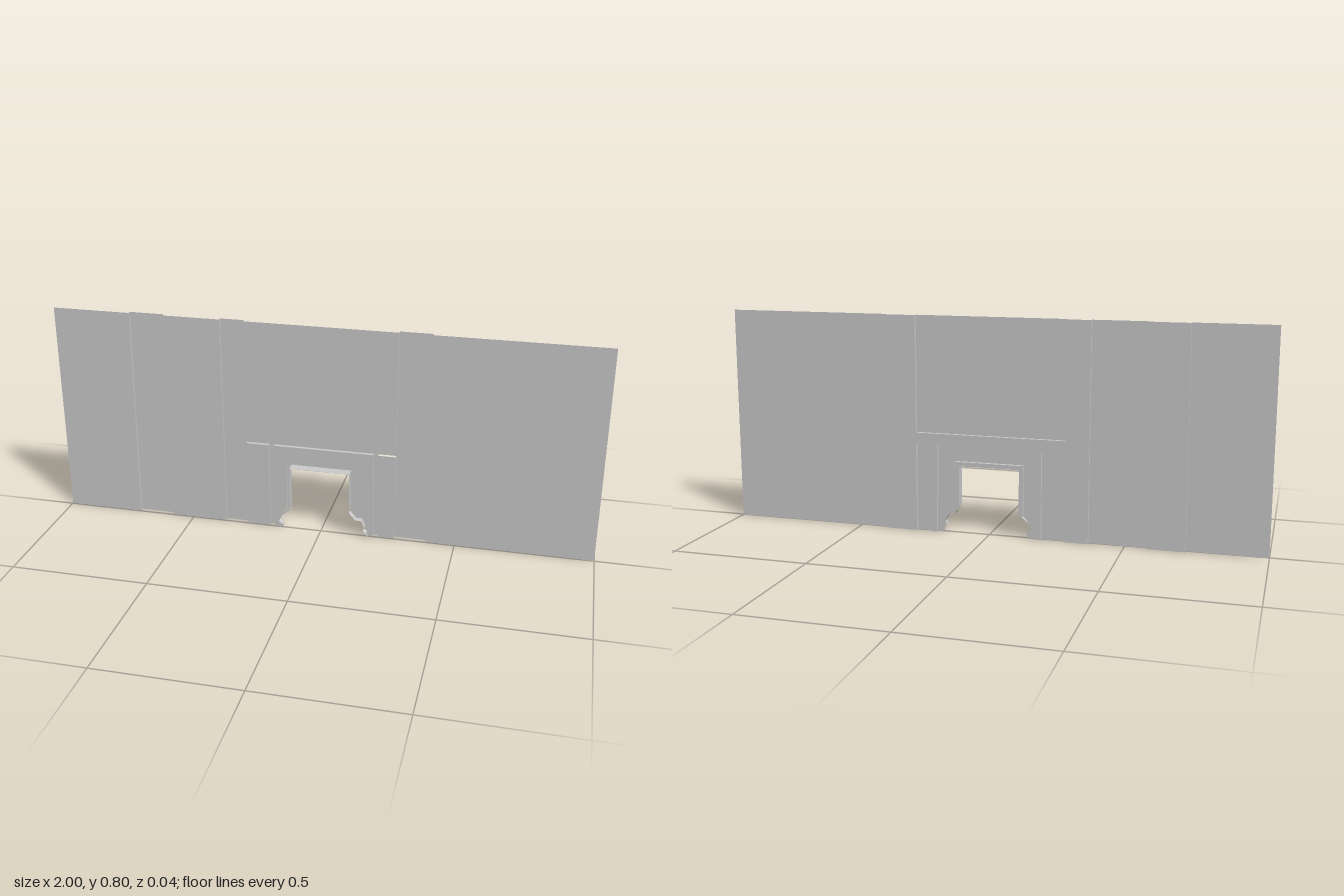
import * as THREE from 'three';

const WALL = -0.005, PROUD = -0.018, REVEAL = 0.018, H = 0.8;

export function createModel() {
  const group = new THREE.Group();
  const material = new THREE.MeshStandardMaterial({
    color: 0xcccccc, side: THREE.DoubleSide, flatShading: true,
  });

  const add = (name, geometry) => {
    const mesh = new THREE.Mesh(geometry, material);
    mesh.name = name;
    group.add(mesh);
  };

  // Flat sheet with the given outline at depth z
  const sheet = (name, points, z) => {
    const shape = new THREE.Shape(points.map(([x, y]) => new THREE.Vector2(x, y)));
    add(name, new THREE.ShapeGeometry(shape).translate(0, 0, z));
  };

  // Upright panel whose sides may lean slightly: x at the bottom and at the top
  const panel = (name, left, right, y0, y1, z) =>
    sheet(name, [[left[0], y0], [right[0], y0], [right[1], y1], [left[1], y1]], z);

  // Narrow strip that follows a line from depth z0 to depth z1
  const strip = (name, points, z0 = PROUD, z1 = WALL) => {
    const position = [], index = [];
    points.forEach(([x, y], i) => {
      position.push(x, y, z0, x, y, z1);
      if (i) index.push(2 * i - 2, 2 * i - 1, 2 * i, 2 * i, 2 * i - 1, 2 * i + 1);
    });
    const g = new THREE.BufferGeometry();
    g.setAttribute('position', new THREE.Float32BufferAttribute(position, 3));
    g.setIndex(index);
    const flat = g.toNonIndexed();
    flat.computeVertexNormals();
    add(name, flat);
  };

  // Full-height bays, alternating between wall and pilaster planes
  const edges = [[-1, -1], [-0.716, -0.71], [-0.583, -0.583], [-0.37, -0.37], [-0.283, -0.283]];
  for (let i = 0; i < 4; i++) {
    panel(i % 2 ? 'pilaster' : 'wallPanel', edges[i], edges[i + 1], 0, H, i % 2 ? PROUD : WALL);
  }
  panel('pilaster', [0.275, 0.275], [0.392, 0.392], 0, H, PROUD);
  panel('wallPanel', [0.392, 0.392], [1, 1], 0, H, WALL);
  for (const [b, t] of [edges[1], edges[2], edges[3], [0.392, 0.392]]) {
    strip('pilasterSide', [[b, 0], [t, H]]);
  }

  // Panel over the chimney piece and the raised band below it
  panel('overmantelPanel', [-0.283, -0.283], [0.275, 0.275], 0.37, H, WALL);
  strip('overmantelEdge', [[-0.283, H], [-0.283, 0.37], [0.275, 0.37], [0.275, H]]);
  panel('mantelBand', [-0.283, -0.283], [0.275, 0.275], 0.33, 0.37, PROUD);

  // Narrow panels and raised ribs beside the chimney piece
  panel('sidePanel', [-0.283, -0.283], [-0.197, -0.197], 0, 0.33, WALL);
  strip('sidePanelEdge', [[-0.283, 0], [-0.283, 0.33], [-0.197, 0.33], [-0.197, 0]]);
  panel('rib', [-0.197, -0.197], [-0.178, -0.178], 0, 0.33, PROUD);
  panel('rib', [0.197, 0.193], [0.216, 0.209], 0, 0.33, PROUD);
  panel('sidePanel', [0.216, 0.209], [0.275, 0.275], 0, 0.33, WALL);
  strip('sidePanelEdge', [[0.216, 0], [0.209, 0.33]]);
  strip('sidePanelEdge', [[0.275, 0], [0.275, 0.33]]);

  // Chimney piece with a ragged foot on each side of the opening
  const leftFoot = [[-0.147, 0], [-0.142, 0.02], [-0.157, 0.033], [-0.15, 0.055], [-0.118, 0.08]];
  const rightFoot = [[0.125, 0.08], [0.132, 0.07], [0.157, 0.068], [0.168, 0.042],
    [0.163, 0.027], [0.175, 0.02], [0.178, 0]];
  const outer = [[-0.13, 0.08], [-0.13, 0.27], [0.125, 0.27], [0.125, 0.08]];
  const inner = [[-0.115, 0.083], [-0.115, 0.254], [0.11, 0.254], [0.11, 0.097]];
  sheet('chimneyPiece', [[-0.178, 0], ...leftFoot.slice(0, 4), ...outer, ...rightFoot.slice(1),
    [0.197, 0], [0.193, 0.33], [-0.178, 0.33]], WALL);
  strip('chimneyPieceEdge', [[-0.178, 0], [-0.178, 0.33], [0.193, 0.33], [0.197, 0]]);

  // Raised moulding around the opening, and the deep reveal
  sheet('openingMoulding', [...outer, ...[...inner].reverse()], PROUD);
  strip('mouldingEdge', outer);
  strip('mouldingReveal', inner);
  strip('openingReveal', [...leftFoot, ...inner, ...rightFoot], WALL, REVEAL);

  return group;
}
